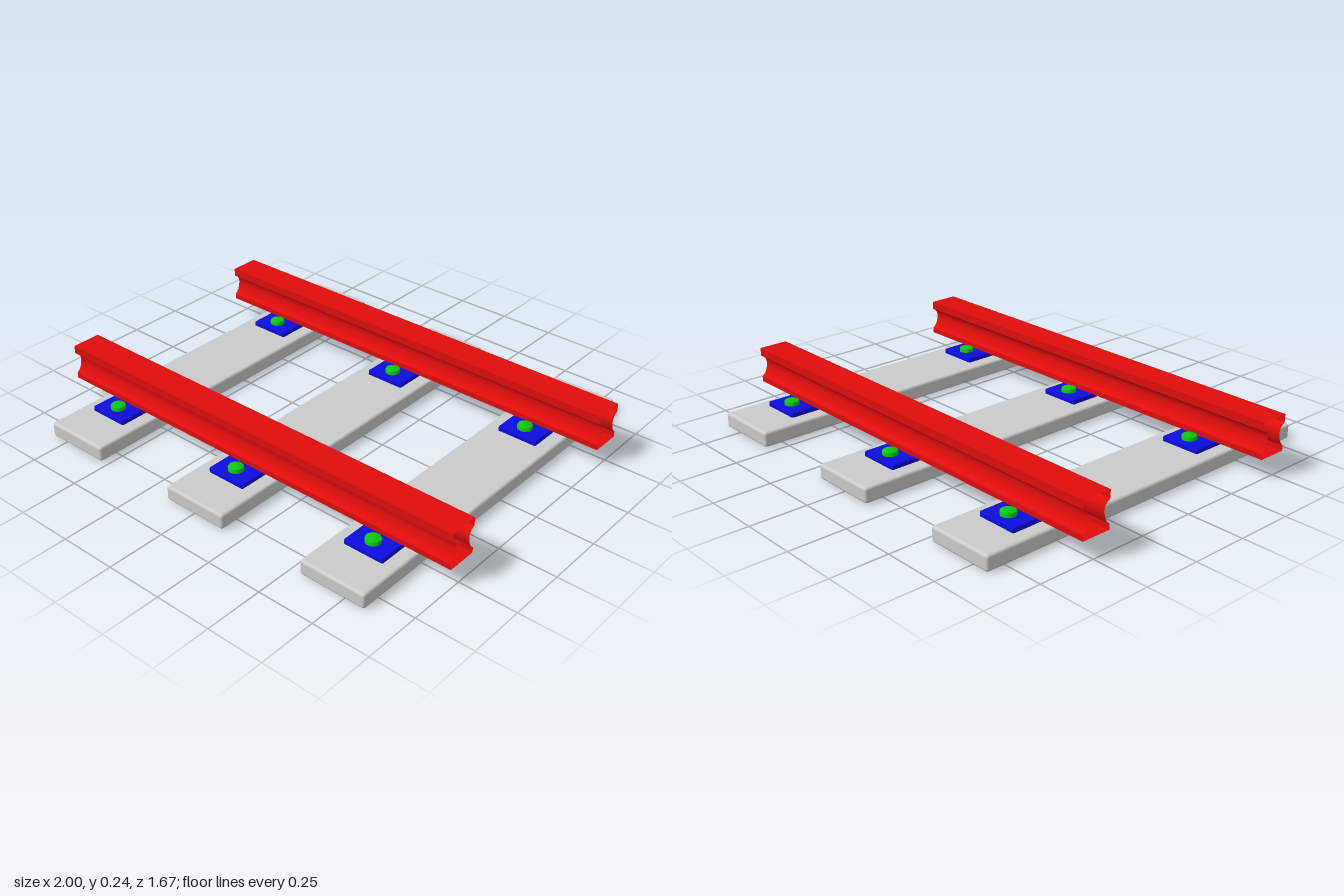
import * as THREE from 'three';
import { toCreasedNormals } from 'three/addons/utils/BufferGeometryUtils.js';
import { RoundedBoxGeometry } from 'three/addons/geometries/RoundedBoxGeometry.js';

const grey = new THREE.MeshStandardMaterial({ color: 0xcccccc });
const red = new THREE.MeshStandardMaterial({ color: 0xe00d0d, side: THREE.DoubleSide });
const blue = new THREE.MeshStandardMaterial({ color: 0x0d0de0 });
const green = new THREE.MeshStandardMaterial({ color: 0x0dc80d });

const SLEEPER_X = [-0.68, 0.005, 0.692];
const RAIL_Z = 0.488;

function addMesh(parent, name, geometry, material, x, y, z) {
  const mesh = new THREE.Mesh(geometry, material);
  mesh.name = name;
  mesh.position.set(x, y, z);
  parent.add(mesh);
}

// Hollow rail, open at both ends: a strip wrapped around a waisted profile
function railGeometry() {
  const groove = new THREE.CatmullRomCurve3([
    [0.065, 0.208], [0.046, 0.194], [0.038, 0.175], [0.04, 0.15], [0.05, 0.125], [0.065, 0.11],
  ].map(([z, y]) => new THREE.Vector3(0, y, z))).getPoints(16);
  const side = [[0.065, 0.243], ...groove.map((p) => [p.z, p.y]), [0.065, 0.087]];
  const mirrored = side.map(([z, y]) => [-z, y]).reverse();
  const loop = [...side, ...mirrored, side[0]];

  const geometry = new THREE.PlaneGeometry(2, 1, 1, loop.length - 1);
  const pos = geometry.attributes.position;
  for (let i = 0; i < pos.count; i++) {
    const [z, y] = loop[Math.floor(i / 2)];
    pos.setY(i, y);
    pos.setZ(i, z);
  }
  return toCreasedNormals(geometry, 0.6);
}

// Bolt head with a softened rim
function boltGeometry() {
  const profile = [[0, -0.01], [0.032, -0.01], [0.032, 0.014], [0.03, 0.018], [0.026, 0.02], [0, 0.02]]
    .map(([r, y]) => new THREE.Vector2(r, y));
  return toCreasedNormals(new THREE.LatheGeometry(profile, 24), 0.6);
}

export function createModel() {
  const track = new THREE.Group();
  track.name = 'railwayTrack';

  const sleeper = new RoundedBoxGeometry(0.3, 0.066, 1.67, 3, 0.012);
  const plate = new RoundedBoxGeometry(0.18, 0.03, 0.348, 2, 0.006);
  const rail = railGeometry();
  const bolt = boltGeometry();

  for (const x of SLEEPER_X) {
    addMesh(track, 'sleeper', sleeper, grey, x, 0.033, 0);
    // Base plate under each rail, with a bolt on either side of it
    for (const s of [-1, 1]) {
      addMesh(track, 'basePlate', plate, blue, x, 0.072, s * RAIL_Z);
      for (const offset of [-0.115, 0.115]) {
        addMesh(track, 'bolt', bolt, green, x, 0.086, s * RAIL_Z + offset);
      }
    }
  }

  for (const s of [-1, 1]) addMesh(track, 'rail', rail, red, 0, 0, s * RAIL_Z);

  return track;
}
